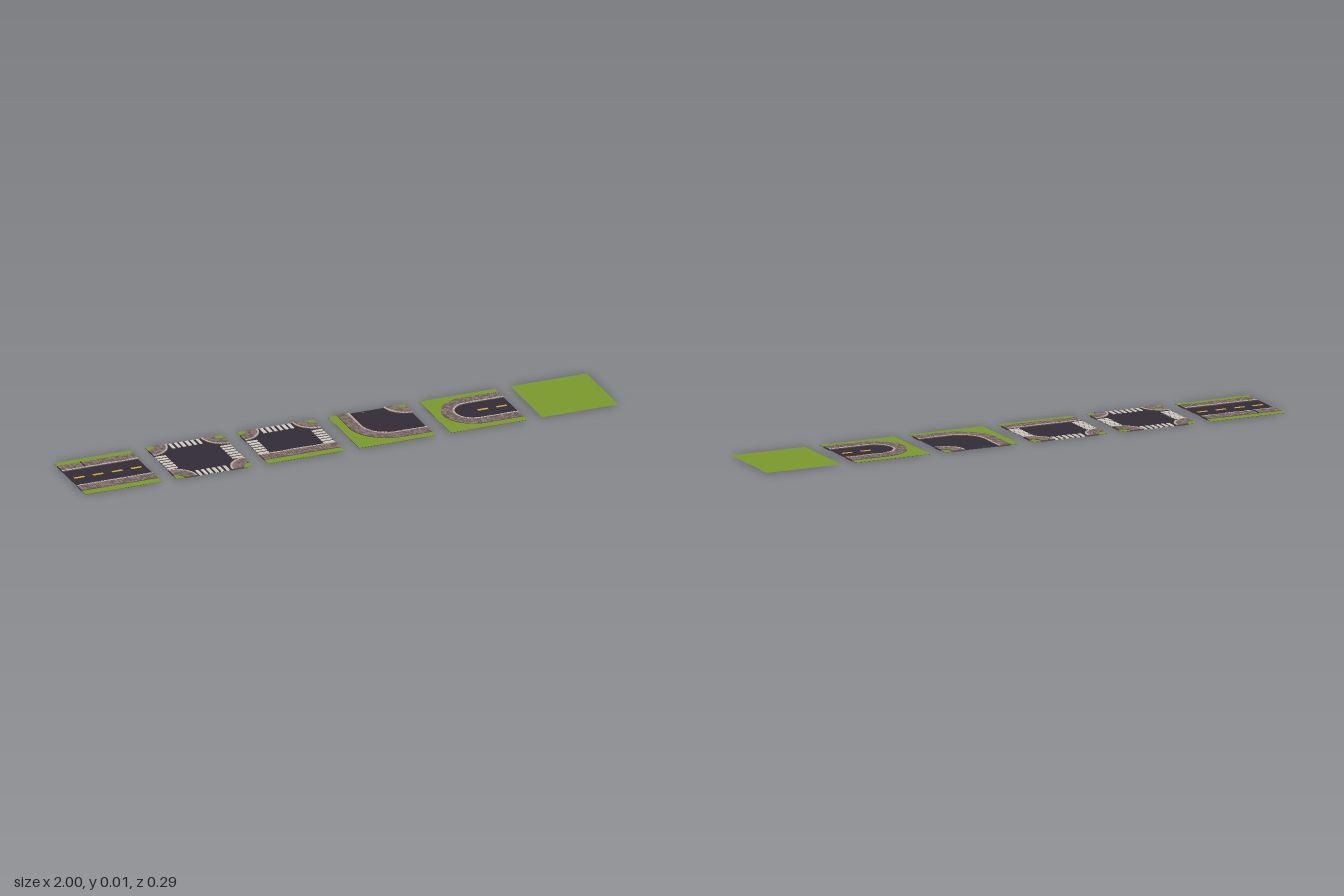
import * as THREE from 'three';
import { mergeGeometries } from 'three/addons/utils/BufferGeometryUtils.js';

const mat = (name, color, side = THREE.FrontSide) => {
  const m = new THREE.MeshStandardMaterial({ color, side });
  m.name = name;
  return m;
};
const asphalt = mat('asphalt', 0x322c36, THREE.DoubleSide);
const grass = mat('grass', 0x7a992d, THREE.DoubleSide);
const mortar = mat('mortar', 0x5a4b4b);
const stoneLight = mat('light paving', 0x8a7673);
const stoneDark = mat('dark paving', 0x716261);
const curbStone = mat('curb stone', 0xb9aca2);
const white = mat('white paint', 0xcfc8c0);
const yellow = mat('yellow paint', 0xd9a92c);
const weed = mat('weed', 0x5d7a26);

const H = 0.143;      // half a tile
const ROAD = 0.064;   // half the road width
const WALK = 0.048;   // pavement width
const PITCH = 0.343;  // distance between tiles

let seed = 7;
const rand = () => (seed = (seed * 16807) % 2147483647) / 2147483647;

function mesh(parent, name, geometry, material) {
  const m = new THREE.Mesh(geometry, material);
  m.name = name;
  parent.add(m);
  return m;
}

// Flat slab with an outline in x and z
function slab(points, bottom, top) {
  const g = new THREE.ExtrudeGeometry(new THREE.Shape(points), { depth: top - bottom, bevelEnabled: false });
  return g.rotateX(Math.PI / 2).translate(0, top, 0);
}

// Square sheet
function sheet(parent, name, material, y) {
  mesh(parent, name, new THREE.PlaneGeometry(2 * H, 2 * H).rotateX(-Math.PI / 2).translate(0, y, 0), material);
}

// Point beside a path, d outwards from the road
function beside(path, u, d) {
  const p = path.getPointAt(u), t = path.getTangentAt(u);
  return new THREE.Vector2(p.x - t.y * d, p.y + t.x * d);
}

// Paved walk along a road edge, with the lawn behind it closed through the given corners
function walk(parent, path, corners, turn = 0) {
  const group = new THREE.Group();
  group.name = 'pavement';
  group.rotation.y = turn;
  parent.add(group);

  const n = 48, inner = [], outer = [];
  for (let i = 0; i <= n; i++) {
    inner.push(beside(path, i / n, 0));
    outer.push(beside(path, i / n, WALK));
  }
  mesh(group, 'pavementBed', slab([...inner, ...outer.slice().reverse()], 0, 0.005), mortar);
  const lawn = [...outer, ...corners.map(([x, z]) => new THREE.Vector2(x, z))];
  mesh(group, 'lawn', slab(lawn, 0.0025, 0.0035), grass);

  // Rows of stones: one curb row, then four paving rows
  const light = [], dark = [], curb = [], weeds = [];
  const rows = [[0.004, 0.0075], [0.0132, 0.009], [0.0233, 0.009], [0.0334, 0.009], [0.0432, 0.0085]];
  rows.forEach(([d, width], row) => {
    const mean = beside(path, 0.5, d).distanceTo(beside(path, 0.49, d)) * 100;
    const span = Math.max(mean, path.getLength() * 0.6);
    const count = Math.max(4, Math.round(span / 0.0125));
    for (let i = 0; i < count; i++) {
      const a = beside(path, i / count, d), b = beside(path, (i + 1) / count, d);
      const top = 0.0056 + rand() * 0.0012;
      const g = new THREE.BoxGeometry(Math.max(0.003, a.distanceTo(b) - 0.0014), 0.004, width);
      g.rotateY(-Math.atan2(b.y - a.y, b.x - a.x));
      g.translate((a.x + b.x) / 2, top - 0.002, (a.y + b.y) / 2);
      (row === 0 ? curb : rand() < 0.55 ? light : dark).push(g);
    }
  });

  // Weeds at the outer side of the paving
  const weedCount = Math.ceil(path.getLength() / 0.035);
  for (let i = 0; i < weedCount; i++) {
    const p = beside(path, 0.06 + 0.88 * rand(), WALK * (0.55 + 0.45 * rand()));
    weeds.push(new THREE.ConeGeometry(0.0035, 0.005, 5).translate(p.x, 0.0072, p.y));
  }
  mesh(group, 'curb', mergeGeometries(curb), curbStone);
  mesh(group, 'lightStones', mergeGeometries(light), stoneLight);
  mesh(group, 'darkStones', mergeGeometries(dark), stoneDark);
  mesh(group, 'weeds', mergeGeometries(weeds), weed);
}

// Straight pavement on the front side, turned where needed
function straightWalk(parent, turn = 0) {
  walk(parent, new THREE.Path().moveTo(-H, ROAD).lineTo(H, ROAD), [[H, H], [-H, H]], turn);
}

// Quarter round pavement in the back left corner, turned where needed
function cornerWalk(parent, turn = 0) {
  walk(parent, new THREE.Path().absarc(H, -H, H - ROAD, Math.PI / 2, Math.PI, false), [[H, -H]], turn);
}

// Zebra crossing on the back edge, turned where needed
function crossing(parent, turn = 0) {
  const parts = [];
  for (let i = 0; i < 6; i++) {
    parts.push(new THREE.BoxGeometry(0.012, 0.004, 0.04).translate((i - 2.5) * 0.0205, 0.002, -H + 0.021));
  }
  mesh(parent, 'crossing', mergeGeometries(parts), white).rotation.y = turn;
}

function dashes(parent, offsets) {
  const parts = offsets.map(x => new THREE.BoxGeometry(0.039, 0.0035, 0.009).translate(x, 0.00175, 0));
  mesh(parent, 'laneDashes', mergeGeometries(parts), yellow);
}

export function createModel() {
  const model = new THREE.Group();
  model.name = 'roadTiles';
  const Q = Math.PI / 2;

  const tiles = ['straightRoad', 'crossroads', 'junction', 'bend', 'deadEnd', 'lawnTile'].map((name, i) => {
    const tile = new THREE.Group();
    tile.name = name;
    tile.position.x = (i - 2.5) * PITCH;
    model.add(tile);
    if (i < 5) sheet(tile, 'road', asphalt, 0.002);
    else sheet(tile, 'lawn', grass, 0.003);
    return tile;
  });
  const [straight, cross, junction, bend, deadEnd] = tiles;

  // Straight road with a gutter across the back pavement
  straightWalk(straight);
  straightWalk(straight, Math.PI);
  dashes(straight, [-0.107, -0.036, 0.036, 0.107]);
  mesh(straight, 'gutter', new THREE.BoxGeometry(0.005, 0.002, 0.04).translate(-0.055, 0.0063, -0.093), asphalt);

  // Crossroads
  for (let i = 0; i < 4; i++) {
    cornerWalk(cross, i * Q);
    crossing(cross, i * Q);
  }

  // Junction closed at the front
  for (const turn of [0, Q]) cornerWalk(junction, turn);
  for (const turn of [0, Q, -Q]) crossing(junction, turn);
  straightWalk(junction);

  // Bend from the back to the left side
  const r = 0.092, c = r - ROAD;
  const curve = new THREE.Path().moveTo(-ROAD, -H).lineTo(-ROAD, -c);
  curve.absarc(c, -c, r, Math.PI, Q, true).lineTo(H, ROAD);
  walk(bend, curve, [[H, H], [-H, H], [-H, -H]]);
  cornerWalk(bend);
  mesh(bend, 'drain', new THREE.BoxGeometry(0.012, 0.001, 0.008).translate(-0.015, 0.0025, -0.132), mortar);

  // Dead end opening to the left side
  const loop = new THREE.Path().moveTo(H, -ROAD).lineTo(0, -ROAD);
  loop.absarc(0, 0, ROAD, 3 * Q, Q, true).lineTo(H, ROAD);
  walk(deadEnd, loop, [[H, H], [-H, H], [-H, -H], [H, -H]]);
  dashes(deadEnd, [0.036, 0.107]);

  return model;
}
